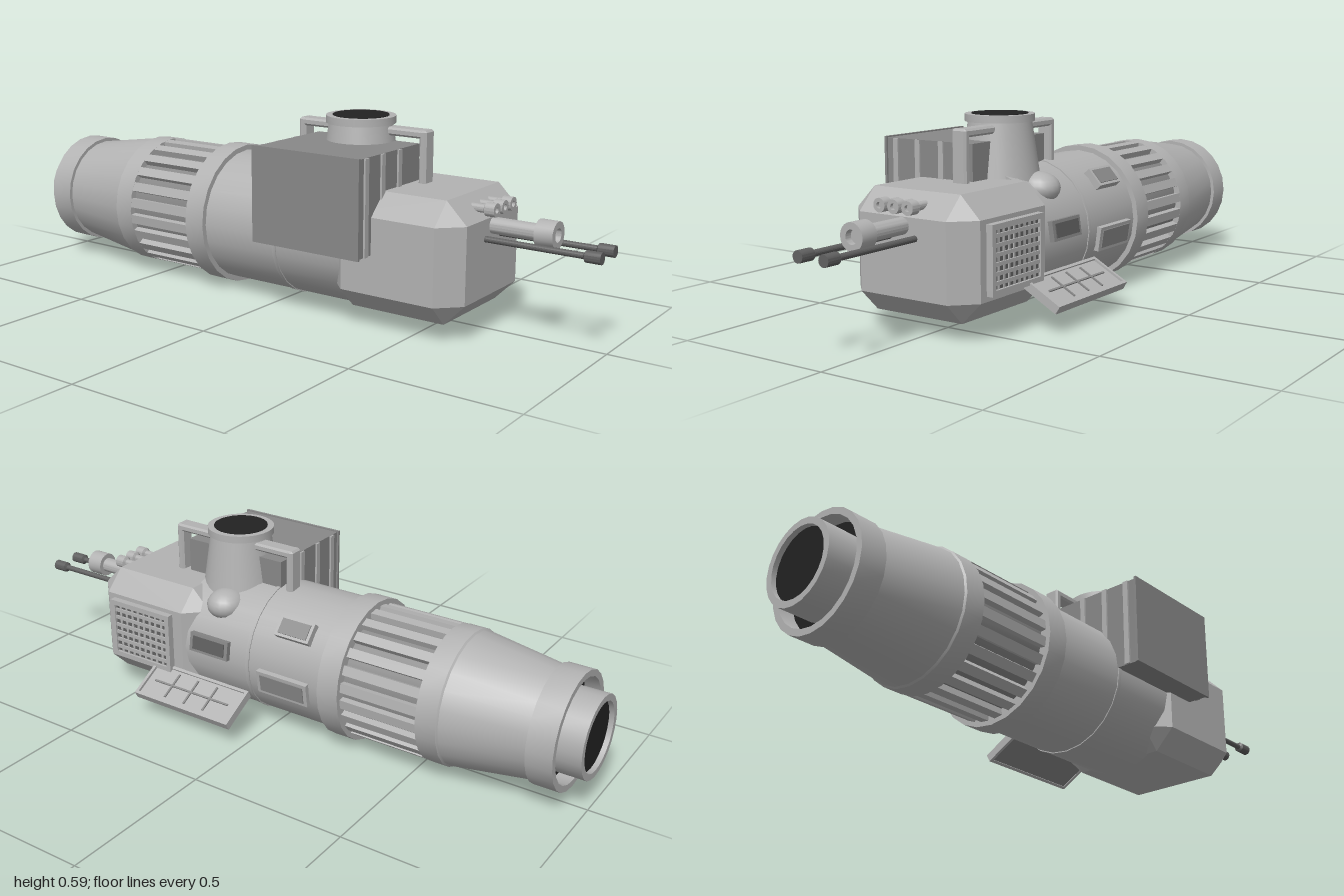
import * as THREE from 'three';
import { toCreasedNormals } from 'three/addons/utils/BufferGeometryUtils.js';
import { ConvexGeometry } from 'three/addons/geometries/ConvexGeometry.js';

const CY = 0.224, CZ = 0.024; // hull axis

function material(name, color) {
  const m = new THREE.MeshStandardMaterial({ color });
  m.name = name;
  return m;
}

export function createModel() {
  const model = new THREE.Group();
  model.name = 'engine';
  const light = material('light grey', 0xb2b2b2);
  const mid = material('mid grey', 0x888888);
  const dark = material('dark grey', 0x606060);
  const black = material('black', 0x222222);

  const add = (name, geo, mat, x = 0, y = 0, z = 0, parent = model) => {
    const mesh = new THREE.Mesh(geo, mat);
    mesh.name = name;
    mesh.position.set(x, y, z);
    parent.add(mesh);
    return mesh;
  };
  const box = (name, mat, w, h, d, x, y, z, parent) =>
    add(name, new THREE.BoxGeometry(w, h, d), mat, x, y, z, parent);
  const lathe = (points, segments = 24) => toCreasedNormals(
    new THREE.LatheGeometry(points.map(p => new THREE.Vector2(...p)), segments), 0.5);
  // Turned part lying along x; points are [radius, x]
  const turned = (name, mat, points, y = CY, z = CZ, segments = 24) =>
    add(name, lathe(points, segments).rotateZ(-Math.PI / 2), mat, 0, y, z);
  // Box standing on the hull at an angle measured from the top towards +z
  const radial = (name, mat, w, h, d, x, r, a) => {
    const mesh = box(name, mat, w, h, d, x, CY + r * Math.cos(a), CZ + r * Math.sin(a));
    mesh.rotation.x = a;
    return mesh;
  };
  // Box with every edge cut at the same distance
  const chamferBox = (w, h, d, c) => {
    const pts = [];
    for (const sx of [-1, 1]) for (const sy of [-1, 1]) for (const sz of [-1, 1]) {
      const x = w / 2, y = h / 2, z = d / 2;
      pts.push(new THREE.Vector3(sx * x, sy * (y - c), sz * (z - c)),
        new THREE.Vector3(sx * (x - c), sy * y, sz * (z - c)),
        new THREE.Vector3(sx * (x - c), sy * (y - c), sz * z));
    }
    return new ConvexGeometry(pts);
  };

  // Hull and tail
  turned('hull', light, [[0, -0.89], [0.158, -0.89], [0.158, -0.94], [0.178, -0.94],
    [0.178, -0.86], [0.167, -0.86], [0.204, -0.61], [0.209, -0.605], [0.209, -0.54],
    [0.187, -0.54], [0.187, -0.29], [0.223, -0.29], [0.223, -0.22], [0.207, -0.22],
    [0.207, 0.3], [0, 0.3]]);
  turned('ribCore', mid, [[0.189, -0.541], [0.189, -0.289]]);
  turned('hullSeam', light, [[0.206, 0.038], [0.21, 0.038], [0.21, 0.05], [0.206, 0.05]]);
  turned('tailGap', black, [[0.12, -0.892], [0.157, -0.892]]);
  turned('nozzle', light, [[0.105, -0.97], [0.105, -1], [0.125, -1], [0.125, -0.88]]);
  turned('nozzleOpening', black, [[0, -0.985], [0.106, -0.985]]);
  for (let i = 0; i < 24; i++)
    radial('hullRib', light, 0.25, 0.022, 0.029, -0.415, 0.196, (i + 0.5) * Math.PI / 12);

  // Nose block with all edges cut
  add('noseBlock', chamferBox(0.43, 0.352, 0.43, 0.064), light, 0.445, 0.227, 0.025);

  // Vent on the back of the nose block
  box('ventPlate', dark, 0.23, 0.185, 0.015, 0.45, 0.228, -0.195);
  for (const s of [-1, 1]) {
    box('ventFrame', light, 0.24, 0.016, 0.022, 0.45, 0.228 + s * 0.09, -0.2);
    box('ventFrame', light, 0.016, 0.196, 0.022, 0.45 + s * 0.112, 0.228, -0.2);
  }
  for (let i = 0; i < 6; i++)
    box('ventSlat', light, 0.21, 0.011, 0.012, 0.45, 0.163 + i * 0.026, -0.202);
  for (let i = 0; i < 8; i++)
    box('ventBar', light, 0.008, 0.18, 0.008, 0.366 + i * 0.024, 0.228, -0.201);

  // Side box with upright strips and a face plate
  box('sideBox', mid, 0.358, 0.28, 0.32, 0.216, 0.371, 0.148);
  box('sideBoxFace', mid, 0.37, 0.286, 0.008, 0.216, 0.372, 0.308);
  for (const s of [-1, 1]) for (const z of [0.27, 0.187, 0.1])
    box('sideBoxStrip', light, 0.012, 0.279, 0.018, 0.216 + s * 0.179, 0.371, z);

  // Upright intake
  add('intake', lathe([[0.128, 0.34], [0.119, 0.4], [0.095, 0.562], [0.104, 0.562],
    [0.104, 0.584], [0, 0.584]], 32), light, 0.215, 0, CZ);
  add('intakeOpening', new THREE.CylinderGeometry(0.084, 0.084, 0.004, 32), black, 0.215, 0.584, CZ);
  const fairing = add('intakeFairing', new THREE.SphereGeometry(0.06, 20, 12), light, 0.185, 0.368, -0.095);
  fairing.scale.set(1, 0.8, 1.1);

  // Angled handles each side of the intake
  for (const s of [-1, 1]) {
    add('handlePost', chamferBox(0.024, 0.165, 0.05, 0.006), light, 0.215 + s * 0.213, 0.474, 0.004);
    add('handleBar', chamferBox(0.15, 0.024, 0.05, 0.006), light, 0.215 + s * 0.15, 0.544, 0.004);
  }

  // Raised hatches on the back of the hull
  radial('upperHatch', light, 0.12, 0.03, 0.065, -0.105, 0.212, -0.84);
  radial('upperHatchPanel', mid, 0.1, 0.006, 0.048, -0.105, 0.227, -0.84);
  radial('lowerHatch', light, 0.18, 0.02, 0.075, -0.09, 0.209, -1.72);
  radial('lowerHatchPanel', mid, 0.155, 0.006, 0.055, -0.09, 0.219, -1.72);
  radial('forwardHatch', mid, 0.145, 0.024, 0.06, 0.185, 0.209, -1.42);
  radial('forwardHatchPanel', dark, 0.12, 0.006, 0.042, 0.185, 0.221, -1.42);

  // Lowered flap with rim and grid
  const flap = new THREE.Group();
  flap.name = 'flap';
  flap.position.set(0.216, 0.103, -0.245);
  flap.rotation.x = -0.51;
  model.add(flap);
  box('flapPlate', mid, 0.365, 0.016, 0.13, 0, -0.003, 0, flap);
  box('flapTop', light, 0.34, 0.004, 0.115, 0, 0.006, 0, flap);
  for (const s of [-1, 1]) {
    box('flapRim', light, 0.01, 0.026, 0.13, s * 0.178, 0, 0, flap);
    box('flapRim', light, 0.365, 0.026, 0.01, 0, 0, s * 0.061, flap);
  }
  for (let i = -1; i <= 1; i++)
    box('flapBar', mid, 0.006, 0.008, 0.09, i * 0.075, 0.008, 0, flap);
  box('flapBar', mid, 0.29, 0.008, 0.006, 0, 0.008, 0, flap);

  // Twin dark barrels
  for (const z of [0.068, -0.02])
    turned('barrel', dark, [[0.009, 0.64], [0.009, 0.95], [0.017, 0.955], [0.017, 1], [0, 1]],
      0.283, z, 16);

  // Central nozzle gun
  turned('centreTube', light, [[0.024, 0.64], [0.024, 0.8], [0.039, 0.8], [0.039, 0.855],
    [0.02, 0.855], [0.02, 0.835], [0, 0.835]], 0.314, CZ, 20);

  // Row of three small sensors
  for (const z of [0.073, 0.024, -0.025])
    turned('sensor', light, [[0.012, 0.58], [0.012, 0.66], [0.02, 0.665], [0.02, 0.695],
      [0.009, 0.695], [0.009, 0.685], [0, 0.685]], 0.37, z, 16);

  return model;
}
